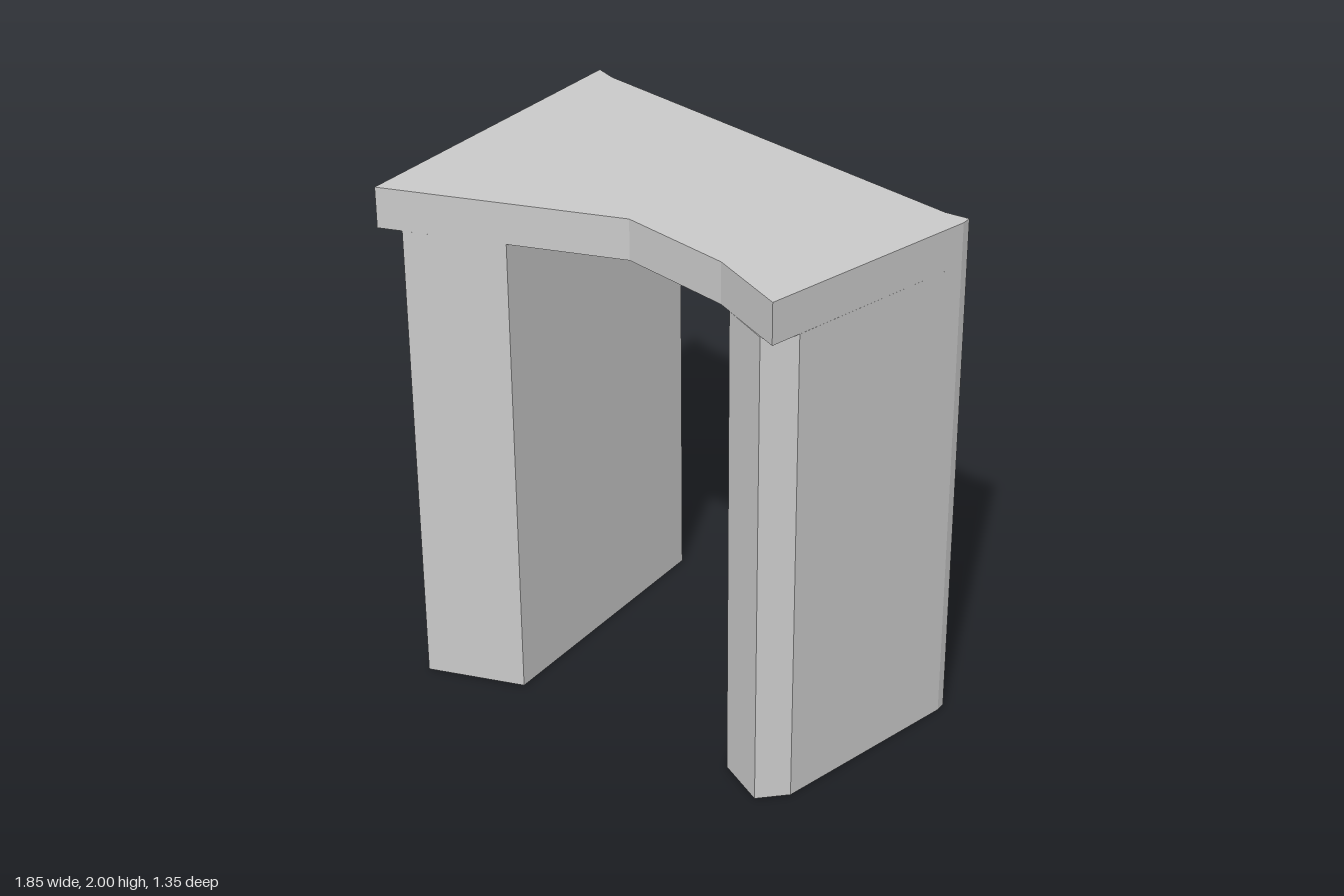
import * as THREE from 'three';

const HEIGHT = 2;
const LEG_TOP = 1.845;

// Extrudes a plan outline of [x, z] corners upward from y0 to y1.
function prism(name, outline, y0, y1) {
  const shape = new THREE.Shape(outline.map(([x, z]) => new THREE.Vector2(x, -z)));
  const geometry = new THREE.ExtrudeGeometry(shape, { depth: y1 - y0, bevelEnabled: false });
  geometry.rotateX(-Math.PI / 2);
  geometry.translate(0, y0, 0);
  const material = new THREE.MeshStandardMaterial({ color: 0xcccccc, flatShading: true });
  const mesh = new THREE.Mesh(geometry, material);
  mesh.name = name;
  return mesh;
}

export function createModel() {
  const group = new THREE.Group();
  group.name = 'archBlock';

  // Corners shared by the roof and the legs
  const backRight = [[-0.925, -0.675], [-0.84, -0.635]];
  const backLeft = [[0.83, -0.24], [0.923, -0.24], [0.923, -0.2]];

  // Roof slab with a notched front edge
  const roof = [
    ...backRight, ...backLeft,
    [0.71, 0.67], [0.41, 0.51], [-0.035, 0.4], [-0.925, 0.67],
  ];
  group.add(prism('roofSlab', roof, LEG_TOP, HEIGHT));

  // Right leg, its outer face drawn in under the roof toward the front
  const rightLeg = [...backRight, [-0.465, -0.546], [-0.465, 0.53], [-0.835, 0.643]];
  group.add(prism('rightLeg', rightLeg, 0, LEG_TOP));

  // Left leg, with its front outer corner cut off
  const leftLeg = [
    [0.46, -0.327], ...backLeft,
    [0.74, 0.55], [0.645, 0.64], [0.46, 0.537],
  ];
  group.add(prism('leftLeg', leftLeg, 0, LEG_TOP));

  return group;
}
